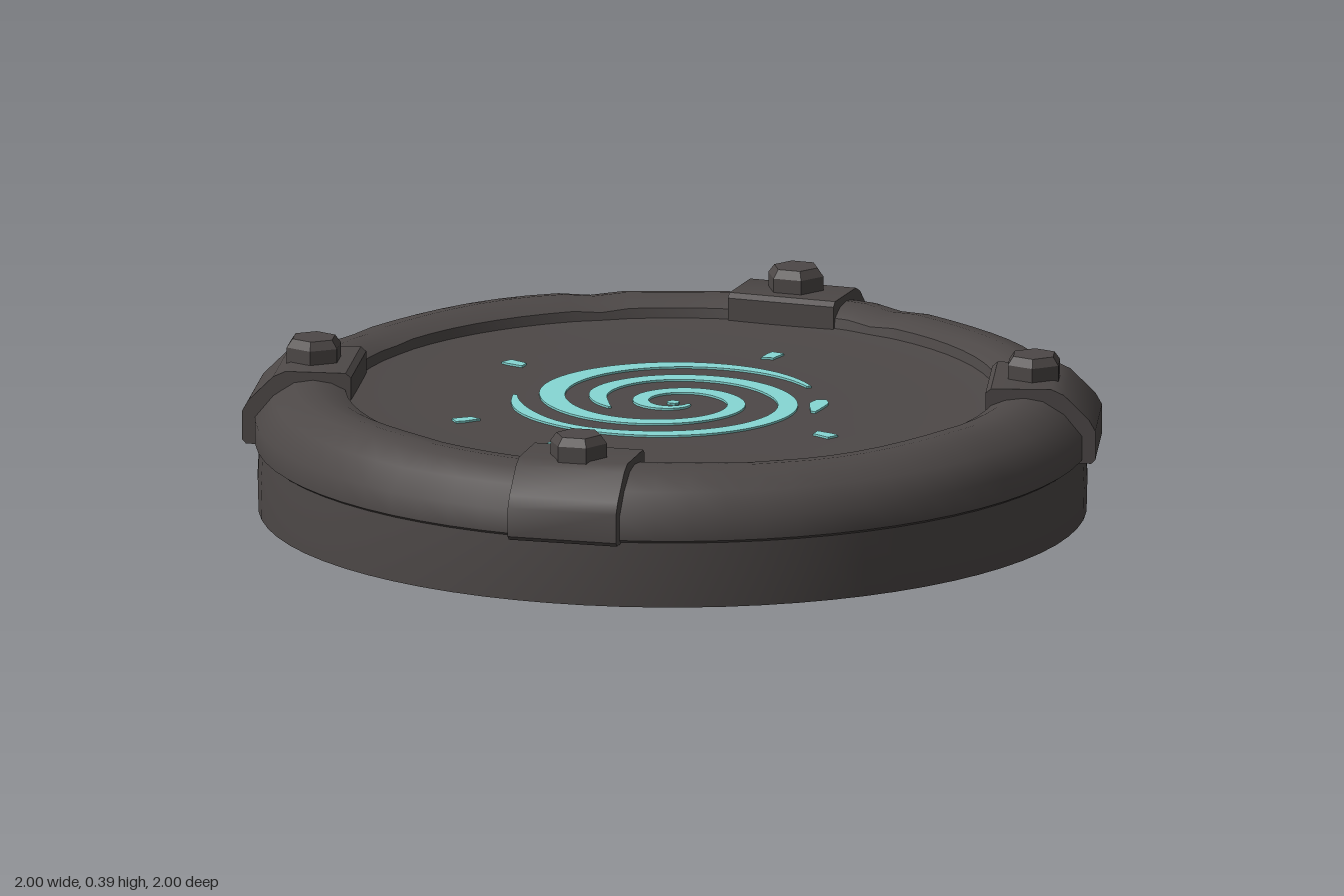
import * as THREE from 'three';
import { toCreasedNormals } from 'three/addons/utils/BufferGeometryUtils.js';

const FLOOR_Y = 0.262;
const rad = THREE.MathUtils.degToRad;

function lathe(points, sides, crease) {
  const g = new THREE.LatheGeometry(points.map(([r, y]) => new THREE.Vector2(r, y)), sides);
  return { g, finish: () => toCreasedNormals(g, crease) };
}

// Rim shell, open underneath, with shallow worn seams at a few angles
function rimGeometry() {
  const { g, finish } = lathe([
    [0.985, 0.156], [0.998, 0.165], [0.998, 0.222], [0.955, 0.275], [0.905, 0.312],
    [0.86, 0.32], [0.815, 0.314], [0.782, 0.295], [0.775, 0.262],
  ], 72, 0.7);
  const seams = [-85, -35, 48, 97, 148, -132].map(rad);
  const p = g.attributes.position;
  for (let i = 0; i < p.count; i++) {
    const x = p.getX(i), y = p.getY(i), z = p.getZ(i);
    if (y < 0.2) continue;
    const a = Math.atan2(z, x);
    let dent = 0;
    for (const s of seams) {
      const d = Math.abs(Math.atan2(Math.sin(a - s), Math.cos(a - s)));
      dent = Math.max(dent, 1 - d / 0.06);
    }
    const wave = 0.003 * Math.sin(a * 7 + 1);
    const k = 1 - 0.006 * dent;
    p.setXYZ(i, x * k, y - 0.006 * dent + (y > 0.3 ? wave - 0.003 : 0), z * k);
  }
  return finish();
}

// Flat plate from an outline in x/z, seen from above and below the floor
function plate(points) {
  const g = new THREE.ExtrudeGeometry(new THREE.Shape(points), { depth: 0.009, bevelEnabled: false });
  g.rotateX(Math.PI / 2);
  g.translate(0, FLOOR_Y + 0.005, 0);
  return g;
}

// Tapering spiral band through [degrees, radius, width] keys
function spiralPlate(keys, steps) {
  const curve = new THREE.CatmullRomCurve3(
    keys.map(([d, r, w]) => new THREE.Vector3(rad(d), r, w)));
  const outer = [], inner = [];
  const at = (a, r) => new THREE.Vector2(
    r * Math.cos(a), r * Math.sin(a) + 0.03 * Math.max(0, 1 - r / 0.34));
  for (let i = 0; i <= steps; i++) {
    const k = curve.getPoint(i / steps);
    outer.push(at(k.x, k.y + k.z / 2));
    inner.push(at(k.x, k.y - k.z / 2));
  }
  return plate([...outer, ...inner.reverse()]);
}

export function createModel() {
  const model = new THREE.Group();
  const stone = new THREE.MeshStandardMaterial({ color: 0x4d4847, side: THREE.DoubleSide });
  stone.name = 'dark stone';
  const glow = new THREE.MeshStandardMaterial({ color: 0x86d8d4, side: THREE.DoubleSide });
  glow.name = 'pale teal';

  const add = (name, geometry, material, parent = model) => {
    const mesh = new THREE.Mesh(geometry, material);
    mesh.name = name;
    parent.add(mesh);
    return mesh;
  };

  // Open skirt, rim and floor
  add('skirt', lathe([[0.99, 0], [0.992, 0.08], [0.988, 0.16]], 72, 0.7).finish(), stone);
  add('rim', rimGeometry(), stone);
  add('floor', lathe([
    [0.785, 0.272], [0.7, 0.264], [0.55, FLOOR_Y], [0.3, FLOOR_Y], [0, FLOOR_Y],
  ], 72, 0.7).finish(), stone);

  // Two spiral arms, a centre dot and a broken-off fragment
  add('spiralArmLong', spiralPlate([
    [-3, 0.348, 0.012], [-40, 0.345, 0.034], [-90, 0.332, 0.05], [-135, 0.308, 0.062],
    [-180, 0.268, 0.056], [-225, 0.232, 0.05], [-270, 0.196, 0.046], [-315, 0.162, 0.046],
    [-360, 0.13, 0.046], [-405, 0.112, 0.044], [-450, 0.098, 0.04], [-495, 0.088, 0.038],
    [-540, 0.078, 0.036], [-585, 0.066, 0.03], [-630, 0.052, 0.024], [-665, 0.04, 0.01],
  ], 160), glow);
  add('spiralArmShort', spiralPlate([
    [204, 0.378, 0.01], [180, 0.372, 0.034], [150, 0.362, 0.03], [120, 0.345, 0.044],
    [90, 0.328, 0.05], [45, 0.295, 0.05], [0, 0.252, 0.05], [-45, 0.23, 0.046],
    [-90, 0.218, 0.044], [-135, 0.198, 0.046], [-165, 0.175, 0.034], [-184, 0.166, 0.008],
  ], 110), glow);
  add('spiralFragment', spiralPlate([
    [19, 0.356, 0.022], [24, 0.353, 0.044], [30, 0.352, 0.034], [38, 0.358, 0.012],
  ], 10), glow);
  const dot = [];
  for (let i = 0; i < 8; i++) {
    dot.push(new THREE.Vector2(-0.008 + 0.016 * Math.cos(i * Math.PI / 4), 0.03 + 0.016 * Math.sin(i * Math.PI / 4)));
  }
  add('spiralCentre', plate(dot), glow);

  // Small specks pointing outwards around the spiral
  for (const [x, z] of [[-0.25, -0.45], [0.355, -0.335], [-0.53, 0.04], [-0.385, 0.32], [0.24, 0.44]]) {
    const a = Math.atan2(z, x), c = Math.cos(a), s = Math.sin(a);
    const outline = [[-0.032, -0.012], [0.01, -0.018], [0.032, -0.016], [0.03, 0.017], [-0.02, 0.016]]
      .map(([u, v]) => new THREE.Vector2(x + u * c - v * s, z + u * s + v * c));
    add('speck', plate(outline), glow);
  }

  // Bent clamps hooked over the rim, each with a hexagonal bolt
  const bracket = new THREE.Shape([
    [1.01, 0.155], [1.02, 0.165], [1.02, 0.235], [1.005, 0.262], [0.945, 0.322], [0.915, 0.336],
    [0.77, 0.336], [0.757, 0.325], [0.757, 0.255], [0.79, 0.255], [0.8, 0.295],
    [0.905, 0.295], [0.965, 0.225], [0.965, 0.155],
  ].map(([r, y]) => new THREE.Vector2(r, y)));
  const width = 0.268;
  const bracketGeo = new THREE.ExtrudeGeometry(bracket, { depth: width, bevelEnabled: false });
  bracketGeo.translate(0, 0, -width / 2);
  const clampGeo = toCreasedNormals(bracketGeo, 0.6);
  const boltGeo = lathe([
    [0.07, 0.325], [0.07, 0.37], [0.055, 0.39], [0, 0.39],
  ], 6, 0.3).finish();
  for (const degrees of [-52.5, -154.6, 21, 122.6]) {
    const clamp = new THREE.Group();
    clamp.name = 'clamp';
    clamp.rotation.y = -rad(degrees);
    add('clampBand', clampGeo, stone, clamp);
    add('bolt', boltGeo, stone, clamp).position.x = 0.865;
    model.add(clamp);
  }
  return model;
}
